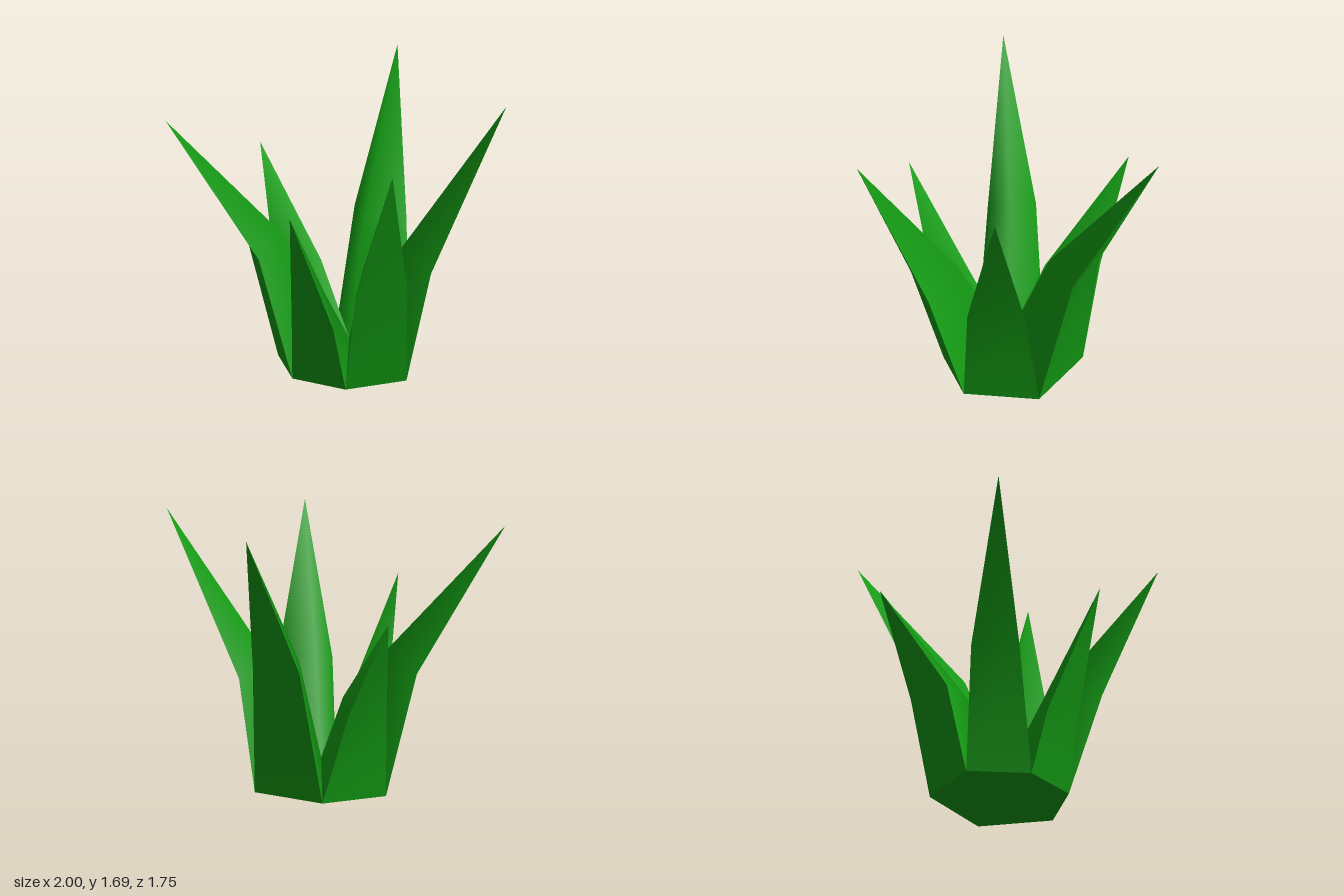
import * as THREE from 'three';

// Corners of the six-sided foot, in order round the plant
const CORNERS = [
  [-0.015, 0, 0.33], [0.37, 0, 0.265], [0.49, 0, -0.17],
  [0.10, 0, -0.49], [-0.285, 0, -0.305], [-0.285, 0, 0.085],
];
const CENTRE = [0.09, 0.18, -0.04];

// Each leaf: left shoulder, right shoulder, inner ridge point, tip
const LEAVES = [
  ['frontLeaf', [0.0, 0.66, 0.53], [0.33, 0.66, 0.47], [0.11, 0.74, 0.26], [0.15, 1.55, 0.875]],
  ['leftLeaf', [0.52, 0.67, 0.265], [0.58, 0.67, -0.07], [0.38, 0.74, 0.03], [1, 1.66, 0.17]],
  ['backLeftLeaf', [0.51, 0.81, -0.37], [0.24, 0.81, -0.57], [0.23, 0.82, -0.27], [0.57, 1.69, -0.88]],
  ['backRightLeaf', [-0.05, 0.56, -0.615], [-0.285, 0.56, -0.42], [-0.03, 0.6, -0.28], [-0.28, 1.165, -0.82]],
  ['rightLeaf', [-0.47, 0.74, -0.29], [-0.47, 0.74, 0.0], [-0.3, 0.85, -0.11], [-1, 1.61, -0.17]],
  ['frontRightLeaf', [-0.31, 0.41, 0.18], [-0.1, 0.41, 0.37], [-0.1, 0.55, 0.16], [-0.39, 1.18, 0.485]],
];

// Vertex order: 0 L, 1 R, 2 left shoulder, 3 right shoulder, 4 ridge, 5 tip, 6 centre
const FACES = {
  outerFace: [0, 1, 3, 0, 3, 2, 2, 3, 5],
  innerFace: [0, 2, 4, 0, 4, 6, 2, 5, 4, 1, 6, 4, 1, 4, 3, 4, 5, 3],
  underside: [0, 6, 1],
};

export function createModel() {
  const plant = new THREE.Group();
  plant.name = 'plant';
  const green = new THREE.MeshStandardMaterial({ color: 0x149c14, side: THREE.DoubleSide });

  LEAVES.forEach(([name, left, right, ridge, tip], i) => {
    const points = [CORNERS[i], CORNERS[(i + 1) % 6], left, right, ridge, tip, CENTRE];
    const leaf = new THREE.Group();
    leaf.name = name;
    // Separate surfaces keep the rim sharp while each side stays smooth
    for (const [part, index] of Object.entries(FACES)) {
      const geometry = new THREE.BufferGeometry();
      geometry.setAttribute('position', new THREE.Float32BufferAttribute(points.flat(), 3));
      geometry.setIndex(index);
      geometry.computeVertexNormals();
      const mesh = new THREE.Mesh(geometry, green);
      mesh.name = part;
      leaf.add(mesh);
    }
    plant.add(leaf);
  });
  return plant;
}
